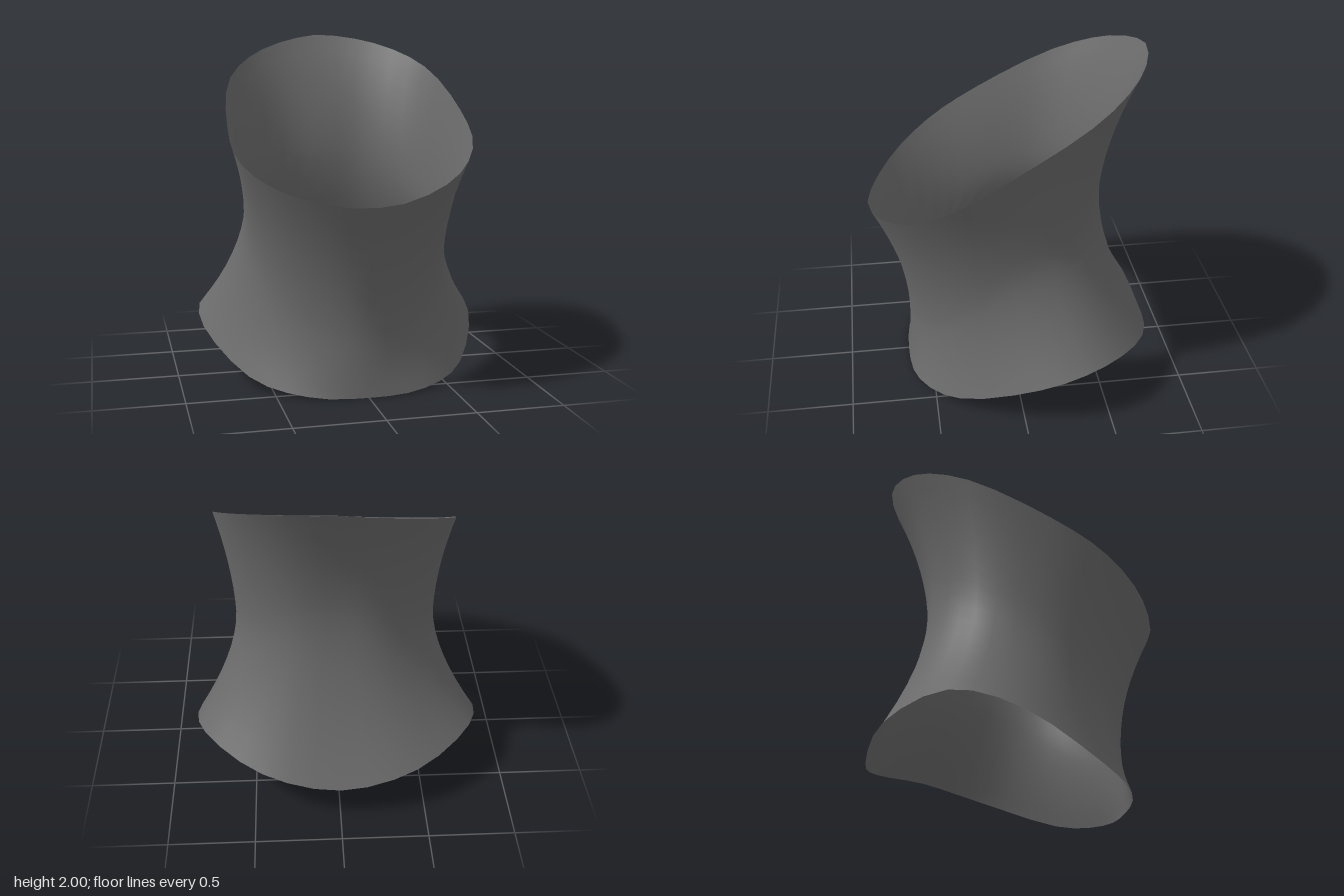
import * as THREE from 'three';

const AROUND = 36; // columns around the sleeve
const HALF = 8;    // rows from the waist to each rim

// Closed smooth loop from a half outline (front to back), mirrored in x
function loop(half) {
  const left = half.map(([x, y, z]) => new THREE.Vector3(x, y, z));
  const right = left.slice(1, -1).reverse().map((p) => new THREE.Vector3(-p.x, p.y, p.z));
  const curve = new THREE.CatmullRomCurve3([...left, ...right], true, 'catmullrom', 0.5);
  return Array.from({ length: AROUND }, (_, i) => curve.getPoint(i / AROUND));
}

// Slanted, gently bowed upper rim that sags a little on the right (-x) side
const topRim = loop([
  [0, 0, 0.83], [0.42, 0, 0.69], [0.66, 0, 0.43], [0.7, 0, 0.1],
  [0.62, 0, -0.36], [0.37, 0, -0.66], [0, 0, -0.78]]);
for (const p of topRim) {
  p.y = 1.61 - 0.56 * p.z - 0.07 * p.z * p.z + 0.1 * Math.min(p.x, 0);
}

// Narrow waist, rising toward the back
const waist = loop([
  [0, 0.35, 0.617], [0.31, 0.42, 0.51], [0.53, 0.64, 0.3], [0.595, 0.9, 0.03],
  [0.52, 1.05, -0.29], [0.27, 1.16, -0.485], [0, 1.2, -0.52]]);

// Flared lower rim, lifted at the sides and back
const bottomRim = loop([
  [0, 0, 0.64], [0.34, 0.015, 0.59], [0.63, 0.08, 0.36], [0.838, 0.27, -0.08],
  [0.79, 0.365, -0.46], [0.45, 0.3, -0.765], [0, 0.225, -0.84]]);

// Point on the wall between waist and rim, flaring out faster near the rim
function flare(from, to, s) {
  const f = Math.pow(s, 1.8);
  return [
    THREE.MathUtils.lerp(from.x, to.x, f),
    THREE.MathUtils.lerp(from.y, to.y, s),
    THREE.MathUtils.lerp(from.z, to.z, f)];
}

function createSleeveGeometry() {
  const positions = [];
  const indices = [];
  for (let row = -HALF; row <= HALF; row++) {
    const rim = row < 0 ? bottomRim : topRim;
    for (let i = 0; i < AROUND; i++) {
      positions.push(...flare(waist[i], rim[i], Math.abs(row) / HALF));
    }
  }
  for (let row = 0; row < HALF * 2; row++) {
    for (let i = 0; i < AROUND; i++) {
      const a = row * AROUND + i;
      const b = row * AROUND + (i + 1) % AROUND;
      indices.push(a, b, a + AROUND, b, b + AROUND, a + AROUND);
    }
  }
  const geometry = new THREE.BufferGeometry();
  geometry.setAttribute('position', new THREE.Float32BufferAttribute(positions, 3));
  geometry.setIndex(indices);
  geometry.computeVertexNormals();
  return geometry;
}

export function createModel() {
  const group = new THREE.Group();
  group.name = 'flaredSleeve';
  // Thin open wall in dark grey, seen from both sides
  const material = new THREE.MeshStandardMaterial({ color: 0x6a6a6a, side: THREE.DoubleSide });
  const sleeve = new THREE.Mesh(createSleeveGeometry(), material);
  sleeve.name = 'sleeveWall';
  group.add(sleeve);
  return group;
}
